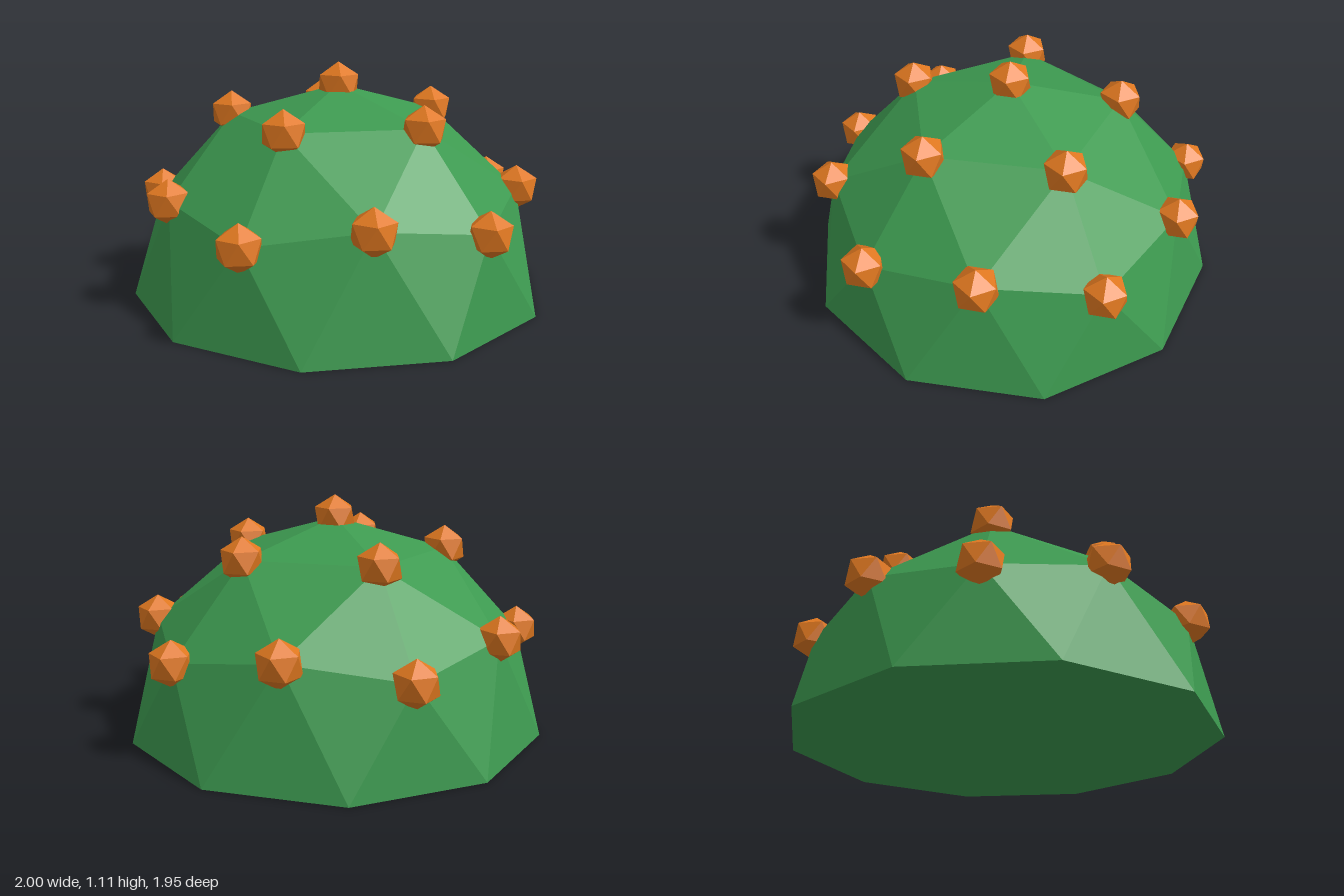
import * as THREE from 'three';
import { ConvexGeometry } from 'three/addons/geometries/ConvexGeometry.js';

const START = THREE.MathUtils.degToRad(87); // azimuth of the first spoke, from +x toward +z
const CENTRE_Z = -0.015;

// evenly spaced points on the unit sphere at one height
function ring(count, y, offsetDeg) {
  const r = Math.sqrt(1 - y * y);
  return Array.from({ length: count }, (_, i) => {
    const a = START + THREE.MathUtils.degToRad(offsetDeg) + (i * 2 * Math.PI) / count;
    return new THREE.Vector3(r * Math.cos(a), y, r * Math.sin(a));
  });
}

export function createModel() {
  const model = new THREE.Group();
  model.name = 'geodesicDome';
  model.position.z = CENTRE_Z;

  const green = new THREE.MeshStandardMaterial({ color: 0x3d9a50, flatShading: true });
  const orange = new THREE.MeshStandardMaterial({ color: 0xe07820, flatShading: true });

  // vertices of a twice-divided icosahedral hemisphere
  const joints = [
    new THREE.Vector3(0, 1, 0),
    ...ring(5, 0.8507, 0),
    ...ring(5, 0.5257, 36),
    ...ring(5, 0.4472, 0),
  ];
  const base = ring(10, 0, 18);

  // faceted dome with closed floor
  const dome = new THREE.Mesh(new ConvexGeometry([...joints, ...base]), green);
  dome.name = 'dome';
  model.add(dome);

  // knobs: icosahedra with a corner pointing up, one on each joint above the base
  const knobGeometry = new THREE.IcosahedronGeometry(0.107, 0);
  knobGeometry.rotateZ(-Math.atan2(1, (1 + Math.sqrt(5)) / 2));
  knobGeometry.rotateY(Math.PI / 2);
  const knobs = new THREE.Group();
  knobs.name = 'knobs';
  joints.forEach((p, i) => {
    const knob = new THREE.Mesh(knobGeometry, orange);
    knob.name = `knob${i + 1}`;
    knob.position.copy(p);
    knobs.add(knob);
  });
  model.add(knobs);

  const group = new THREE.Group();
  group.name = 'domeModel';
  group.add(model);
  return group;
}
